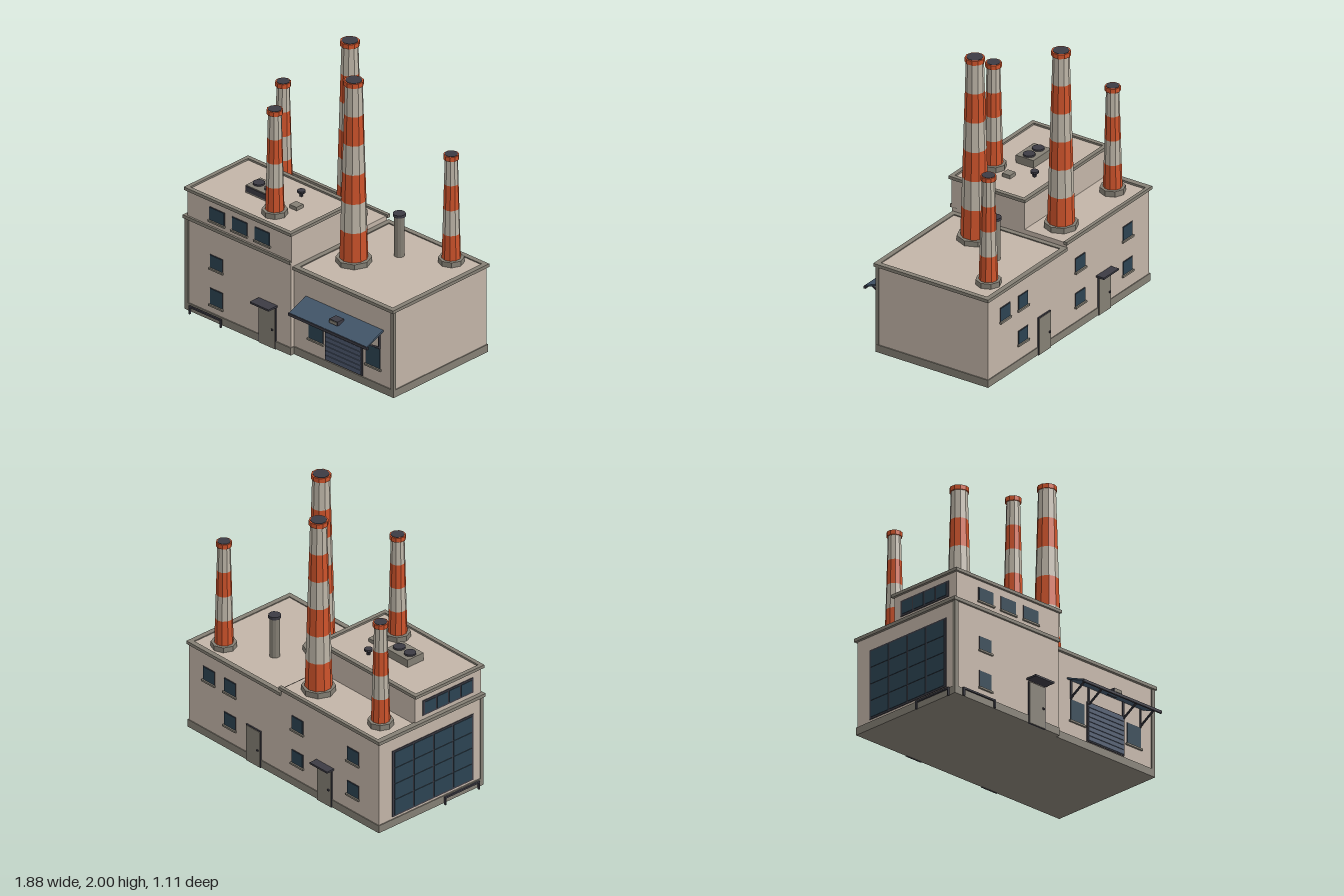
import * as THREE from 'three';

const mat = (name, color, side = THREE.FrontSide) => {
  const m = new THREE.MeshStandardMaterial({ color, side });
  m.name = name;
  m.flatShading = true;
  return m;
};

export function createModel() {
  const M = {
    wall: mat('wall beige', 0xc2b4a7),
    trim: mat('trim grey', 0x847f74),
    red: mat('stripe red', 0xcd532b),
    pale: mat('stripe pale', 0xbdb5a7),
    dark: mat('dark metal', 0x3c3b44),
    glass: mat('window glass', 0x2c4352),
    steel: mat('shutter steel', 0x4c586d),
    awning: mat('awning blue', 0x43566a),
  };
  const model = new THREE.Group();
  model.name = 'factory';

  // Box given by its limits on each axis
  const box = (name, m, x0, x1, y0, y1, z0, z1, parent = model) => {
    const mesh = new THREE.Mesh(new THREE.BoxGeometry(x1 - x0, y1 - y0, z1 - z0), m);
    mesh.position.set((x0 + x1) / 2, (y0 + y1) / 2, (z0 + z1) / 2);
    mesh.name = name;
    parent.add(mesh);
    return mesh;
  };
  // Upright tapered cylinder from y0 to y1
  const tube = (name, m, x, z, y0, y1, r0, r1, sides, parent = model) => {
    const mesh = new THREE.Mesh(new THREE.CylinderGeometry(r1, r0, y1 - y0, sides), m);
    mesh.position.set(x, (y0 + y1) / 2, z);
    mesh.name = name;
    parent.add(mesh);
    return mesh;
  };
  // Thin bar between two points
  const bar = (name, m, a, b, t, parent = model) => {
    const p = new THREE.Vector3(...a), q = new THREE.Vector3(...b);
    const mesh = new THREE.Mesh(new THREE.BoxGeometry(t, t, p.distanceTo(q)), m);
    mesh.position.copy(p).add(q).multiplyScalar(0.5);
    mesh.lookAt(q);
    mesh.name = name;
    parent.add(mesh);
  };
  // Roof edge as a rectangular frame
  const rim = (name, x0, x1, z0, z1, y0, y1, w) => {
    const s = new THREE.Shape([[x0, z0], [x1, z0], [x1, z1], [x0, z1]].map(p => new THREE.Vector2(p[0], -p[1])));
    s.holes.push(new THREE.Path([[x0 + w, z0 + w], [x0 + w, z1 - w], [x1 - w, z1 - w], [x1 - w, z0 + w]]
      .map(p => new THREE.Vector2(p[0], -p[1]))));
    const g = new THREE.ExtrudeGeometry(s, { depth: y1 - y0, bevelEnabled: false });
    g.rotateX(-Math.PI / 2);
    const mesh = new THREE.Mesh(g, M.trim);
    mesh.position.y = y0;
    mesh.name = name;
    model.add(mesh);
  };
  // Group whose local xy plane lies on a wall, facing outwards
  const face = (name, x, z, turn) => {
    const g = new THREE.Group();
    g.name = name;
    g.position.set(x, 0, z);
    g.rotation.y = turn;
    model.add(g);
    return g;
  };

  // Building blocks
  box('rightHall', M.wall, 0.02, 0.925, 0.012, 0.645, -0.497, 0.39);
  box('leftHall', M.wall, -0.92, 0.025, 0.012, 0.69, -0.497, 0.42);
  box('upperStorey', M.wall, -0.908, 0.03, 0.69, 0.902, -0.163, 0.42);
  box('rightPlinth', M.trim, 0.02, 0.932, 0.008, 0.063, -0.503, 0.397);
  box('leftPlinth', M.trim, -0.927, 0.03, 0.008, 0.063, -0.503, 0.427);
  box('rightCornerPost', M.trim, 0.903, 0.931, 0.01, 0.64, 0.375, 0.397);
  box('leftCornerPost', M.trim, -0.926, -0.895, 0.01, 0.68, 0.4, 0.427);

  // Roof edges
  rim('rightRoofEdge', 0.03, 0.938, -0.508, 0.41, 0.637, 0.66, 0.036);
  box('rightRoof', M.wall, 0.026, 0.91, 0.64, 0.653, -0.48, 0.38);
  rim('upperRoofEdge', -0.925, 0.04, -0.175, 0.436, 0.893, 0.915, 0.03);
  box('leftRoofEdgeFront', M.trim, -0.938, 0.025, 0.68, 0.704, 0.38, 0.434);
  box('leftRoofEdgeBack', M.trim, -0.938, 0.04, 0.68, 0.704, -0.51, -0.485);
  box('leftRoofEdgeSide', M.trim, -0.938, -0.897, 0.68, 0.704, -0.485, 0.38);

  const leftFront = face('leftFrontWall', 0, 0.42, 0);
  const rightFront = face('rightFrontWall', 0, 0.39, 0);
  const back = face('backWall', 0, -0.497, Math.PI);
  const side = face('sideWall', -0.92, 0, -Math.PI / 2);
  const upperSide = face('upperSideWall', -0.908, 0, -Math.PI / 2);

  // Windows with frame and sill
  const win = (f, x, y0, y1, w) => {
    box('windowFrame', M.dark, x - w / 2 - 0.004, x + w / 2 + 0.004, y0 - 0.004, y1 + 0.004, 0, 0.003, f);
    box('windowGlass', M.glass, x - w / 2, x + w / 2, y0, y1, 0, 0.006, f);
    box('windowSill', M.trim, x - w / 2 - 0.01, x + w / 2 + 0.01, y0 - 0.016, y0 - 0.003, 0, 0.014, f);
  };
  for (const x of [-0.64, -0.436, -0.23]) win(leftFront, x, 0.75, 0.84, 0.13);
  win(leftFront, -0.645, 0.398, 0.488, 0.105);
  win(leftFront, -0.645, 0.128, 0.24, 0.105);
  for (const x of [0.225, 0.742]) win(rightFront, x, 0.178, 0.322, 0.125);
  for (const x of [0.67, 0.13, -0.525]) {
    win(back, x, 0.435, 0.53, 0.105);
    win(back, x, 0.18, 0.272, 0.105);
  }
  win(back, -0.73, 0.435, 0.53, 0.105);

  // Glazed walls made of panes over a dark frame
  const glazing = (f, x0, x1, y0, y1, cols, rows) => {
    box('glazingFrame', M.dark, x0 - 0.01, x1 + 0.01, y0 - 0.01, y1 + 0.01, 0, 0.006, f);
    const w = (x1 - x0) / cols, h = (y1 - y0) / rows;
    for (let i = 0; i < cols; i++) for (let j = 0; j < rows; j++) {
      box('glazingPane', M.glass, x0 + i * w + 0.007, x0 + (i + 1) * w - 0.007,
        y0 + j * h + 0.003, y0 + (j + 1) * h - 0.003, 0, 0.01, f);
    }
  };
  glazing(side, -0.37, 0.33, 0.09, 0.57, 4, 4);
  glazing(upperSide, -0.09, 0.34, 0.745, 0.838, 4, 1);

  // Doors with optional canopy
  const door = (f, x, h, w, canopy) => {
    box('doorFrame', M.dark, x - w / 2 - 0.005, x + w / 2 + 0.005, 0.005, h + 0.005, 0, 0.01, f);
    box('door', M.trim, x - w / 2, x + w / 2, 0.008, h, 0, 0.014, f);
    box('doorHandle', M.dark, x + w * 0.32, x + w * 0.42, h * 0.46, h * 0.5, 0.01, 0.022, f);
    if (canopy) box('doorCanopy', M.dark, x - 0.085, x + 0.085, h + 0.015, h + 0.028, 0, canopy, f);
  };
  door(leftFront, -0.18, 0.302, 0.14, 0.085);
  door(back, 0.4, 0.275, 0.13, 0.062);
  door(back, -0.29, 0.275, 0.13, 0);

  // Roller shutter
  box('shutterFrame', M.dark, 0.312, 0.65, 0.07, 0.356, 0, 0.008, rightFront);
  for (let i = 0; i < 8; i++) {
    const y = 0.076 + i * 0.034;
    box('shutterSlat', M.steel, 0.322, 0.64, y + 0.002, y + 0.032, 0, 0.014, rightFront);
  }

  // Sloping awning with brackets and lamp
  const awningShape = new THREE.Shape([[0.388, 0.462], [0.388, 0.474], [0.55, 0.41], [0.55, 0.398]]
    .map(p => new THREE.Vector2(-p[0], p[1])));
  const awning = new THREE.Mesh(new THREE.ExtrudeGeometry(awningShape, { depth: 0.7, bevelEnabled: false }), M.awning);
  awning.rotation.y = Math.PI / 2;
  awning.position.x = 0.132;
  awning.name = 'awning';
  model.add(awning);
  box('awningEdge', M.dark, 0.126, 0.84, 0.389, 0.408, 0.542, 0.555);
  for (const x of [0.165, 0.325, 0.64, 0.8]) {
    bar('awningBracket', M.dark, [x, 0.335, 0.395], [x, 0.41, 0.52], 0.011);
    bar('awningBracketPost', M.dark, [x, 0.325, 0.396], [x, 0.46, 0.396], 0.011);
  }
  box('awningLamp', M.dark, 0.452, 0.526, 0.435, 0.465, 0.44, 0.505);
  box('awningLampFace', M.trim, 0.459, 0.519, 0.44, 0.46, 0.505, 0.508);

  // Low guard rails
  const rail = (f, x0, x1, z) => {
    box('railBar', M.dark, x0, x1, 0.048, 0.06, z - 0.006, z + 0.006, f);
    for (const x of [x0, x1 - 0.012]) box('railPost', M.dark, x, x + 0.012, 0, 0.05, z - 0.006, z + 0.006, f);
  };
  rail(leftFront, -0.87, -0.577, 0.026);
  rail(side, 0.07, 0.38, 0.019);

  // Striped chimneys: x, z, base y, first band y, top y, base, bottom, top and cap radii, bands
  const chimneys = [
    [0.262, 0.07, 0.65, 0.69, 2.0, 0.121, 0.096, 0.06, 0.067, 6],
    [-0.152, -0.33, 0.69, 0.73, 1.99, 0.115, 0.092, 0.057, 0.066, 6],
    [-0.252, 0.28, 0.9, 0.94, 1.68, 0.087, 0.064, 0.046, 0.055, 4],
    [-0.75, -0.325, 0.69, 0.73, 1.473, 0.087, 0.064, 0.044, 0.053, 4],
    [0.73, -0.365, 0.65, 0.69, 1.455, 0.087, 0.064, 0.044, 0.053, 4],
  ];
  for (const [x, z, yb, y0, y1, rb, r0, r1, rc, n] of chimneys) {
    const g = new THREE.Group();
    g.name = 'chimney';
    model.add(g);
    tube('chimneyBase', M.trim, x, z, yb, y0, rb, rb, 8, g);
    const yc = y1 - 0.035, h = (yc - y0) / n;
    for (let i = 0; i < n; i++) {
      const ra = r0 + (r1 - r0) * i / n, rt = r0 + (r1 - r0) * (i + 1) / n;
      tube('chimneyBand', i % 2 ? M.pale : M.red, x, z, y0 + i * h, y0 + (i + 1) * h, ra, rt, 10, g);
    }
    tube('chimneyCap', M.red, x, z, yc, y1 - 0.003, rc, rc, 10, g);
    tube('chimneyMouth', M.dark, x, z, y1 - 0.006, y1, rc * 0.84, rc * 0.84, 10, g);
  }

  // Roof equipment
  tube('ventPipe', M.trim, 0.418, -0.2, 0.65, 0.948, 0.036, 0.036, 12);
  tube('ventPipeCap', M.dark, 0.418, -0.2, 0.945, 0.965, 0.043, 0.043, 12);
  box('coolingUnit', M.trim, -0.595, -0.387, 0.9, 0.958, 0.055, 0.196);
  box('coolingGrille', M.dark, -0.59, -0.392, 0.915, 0.953, 0.196, 0.202);
  for (const x of [-0.543, -0.438]) tube('coolingFan', M.dark, x, 0.125, 0.955, 0.97, 0.041, 0.041, 12);
  tube('roofVentStem', M.dark, -0.295, -0.018, 0.9, 0.935, 0.012, 0.012, 8);
  tube('roofVentCap', M.dark, -0.295, -0.018, 0.93, 0.946, 0.028, 0.028, 10);
  box('roofHatch', M.trim, -0.237, -0.173, 0.9, 0.928, 0.092, 0.156);

  return model;
}
